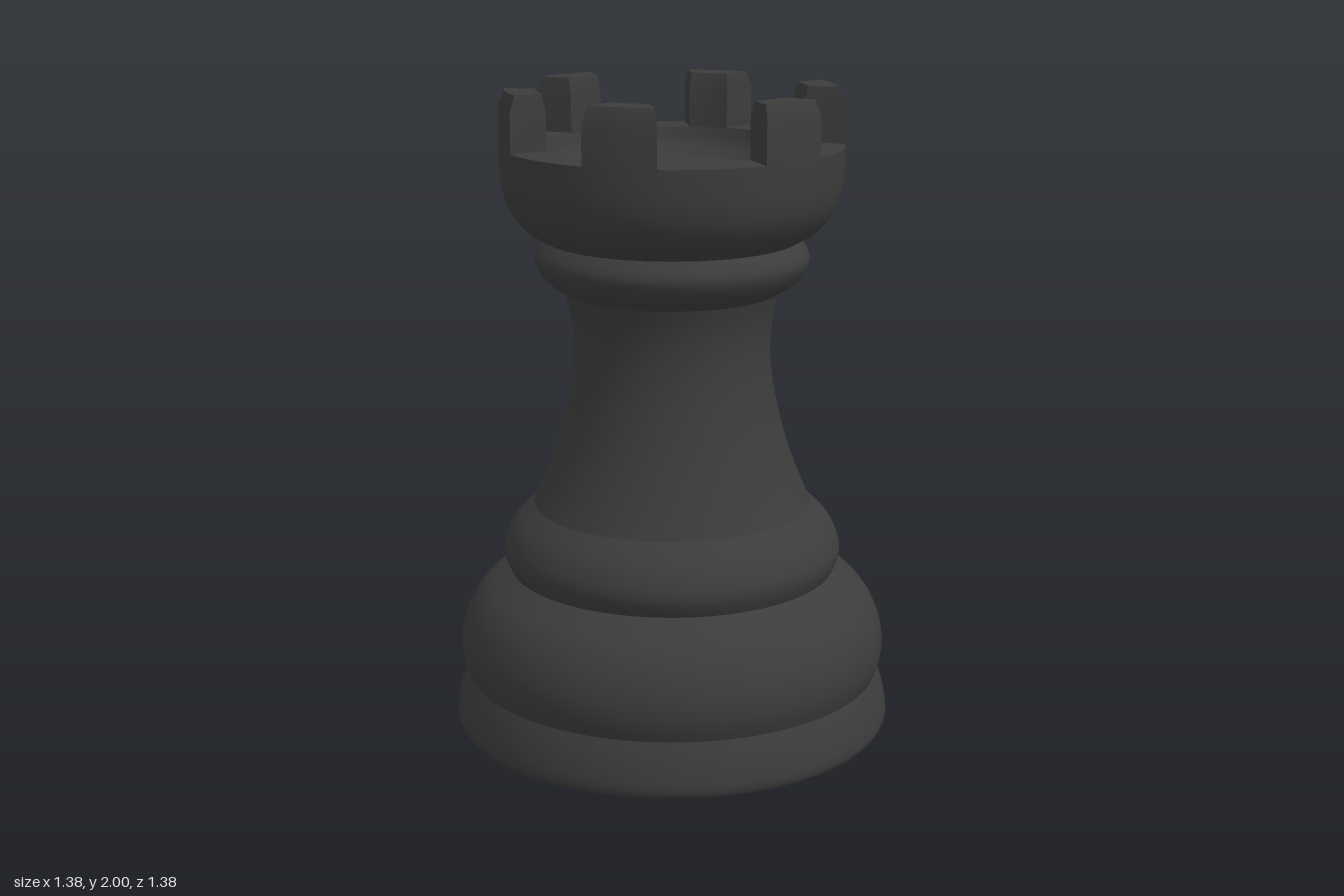
import * as THREE from 'three';

const SEGMENTS = 56;

export function createModel() {
  const group = new THREE.Group();
  group.name = 'rook';
  const charcoal = new THREE.MeshStandardMaterial({ color: 0x3c3c3c });
  charcoal.name = 'charcoal';

  // Turned section: [radius, height] points, smoothed by a spline if samples are given
  function turned(name, points, samples = 0) {
    let profile = points.map(([r, y]) => new THREE.Vector2(r, y));
    if (samples) profile = new THREE.SplineCurve(profile).getPoints(samples);
    const mesh = new THREE.Mesh(new THREE.LatheGeometry(profile, SEGMENTS), charcoal);
    mesh.name = name;
    group.add(mesh);
  }

  // Foot and base
  turned('underside', [[0, 0], [0.68, 0]]);
  turned('foot', [[0.68, 0], [0.688, 0.02], [0.685, 0.06], [0.67, 0.12], [0.652, 0.165]], 10);
  turned('baseBulge', [[0.652, 0.165], [0.668, 0.22], [0.668, 0.29], [0.642, 0.37], [0.592, 0.44], [0.51, 0.5]], 16);
  turned('baseCollar', [[0.51, 0.5], [0.528, 0.545], [0.525, 0.59], [0.495, 0.65], [0.435, 0.71]], 12);

  // Waisted column flaring out at the top
  turned('column', [[0.435, 0.71], [0.4, 0.79], [0.36, 0.9], [0.33, 1.01], [0.31, 1.12],
    [0.304, 1.22], [0.312, 1.31], [0.332, 1.385]], 22);

  // Neck ring and tower head
  turned('neckRing', [[0.332, 1.385], [0.39, 1.425], [0.42, 1.475], [0.415, 1.51], [0.39, 1.545]], 12);
  turned('towerHead', [[0.39, 1.545], [0.45, 1.582], [0.495, 1.64], [0.515, 1.7], [0.521, 1.76], [0.522, 1.83]], 14);
  turned('rim', [[0.522, 1.83], [0.4, 1.83]]);
  turned('innerWall', [[0.4, 1.83], [0.385, 1.78], [0.35, 1.74]], 6);
  turned('innerFloor', [[0.35, 1.74], [0, 1.73]]);

  // Battlement block: a box bent round the rim, narrower inside and chamfered on top
  const block = new THREE.BoxGeometry(1, 1, 1, 1, 2, 4);
  const pos = block.attributes.position;
  for (let i = 0; i < pos.count; i++) {
    const outer = pos.getX(i) > 0;
    const row = Math.round((pos.getY(i) + 0.5) * 2);
    const top = row === 2;
    const radius = outer ? (top ? 0.503 : 0.522) : (top ? 0.412 : 0.4);
    const angle = pos.getZ(i) * 2 * (outer ? 0.215 : 0.155) * (top ? 0.92 : 1);
    pos.setXYZ(i, radius * Math.cos(angle), [1.82, 1.95, 2][row], radius * Math.sin(angle));
  }
  block.computeVertexNormals();

  for (let i = 0; i < 6; i++) {
    const battlement = new THREE.Mesh(block, charcoal);
    battlement.name = `battlement${i + 1}`;
    battlement.rotation.y = (i * Math.PI) / 3;
    group.add(battlement);
  }

  return group;
}
